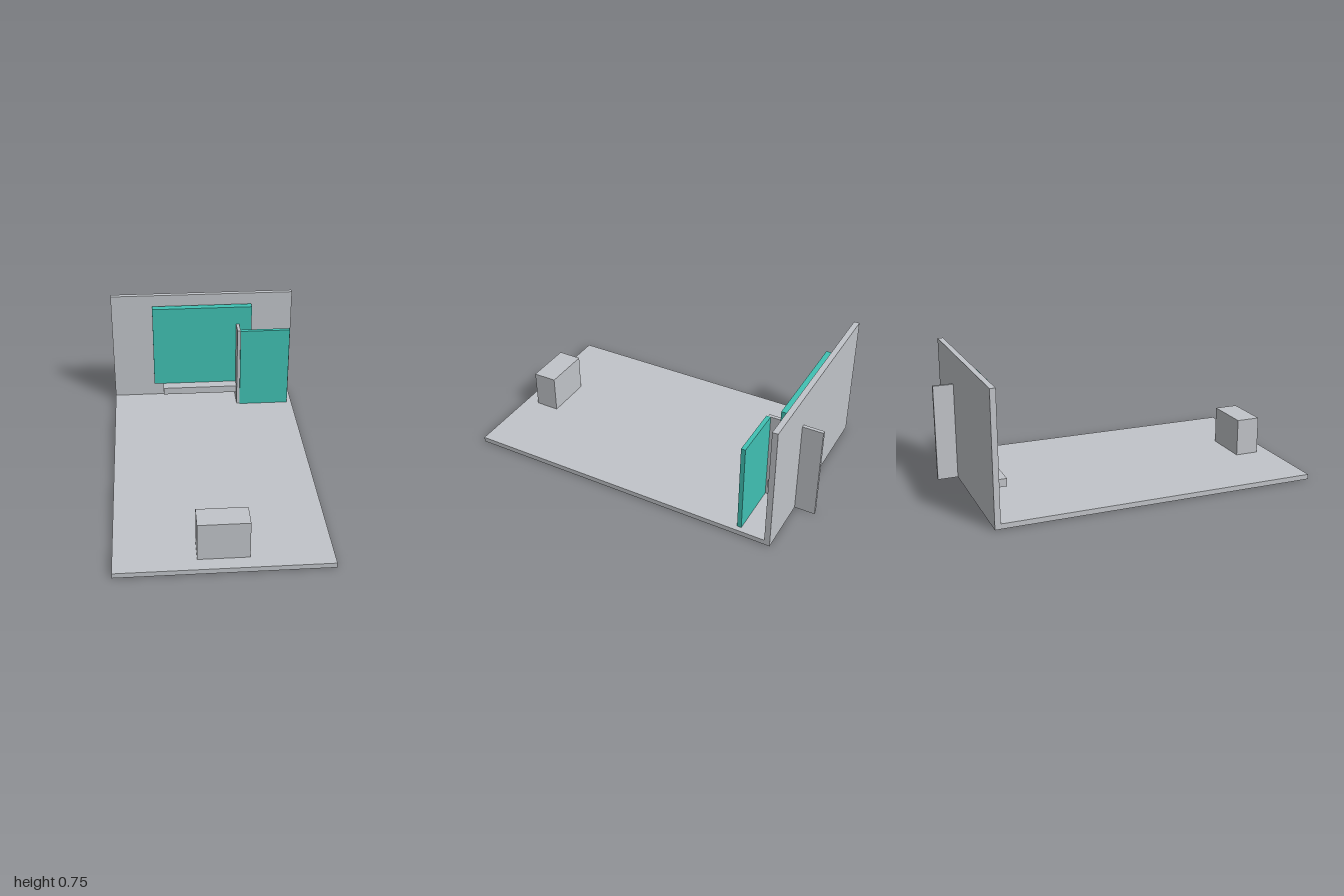
import * as THREE from 'three';

export function createModel() {
  const model = new THREE.Group();
  model.name = 'room';
  const grey = new THREE.MeshStandardMaterial({ name: 'pale grey', color: 0xc1c4c9 });
  const teal = new THREE.MeshStandardMaterial({ name: 'teal', color: 0x40c1b3 });

  // Box given by its lower and upper limits on each axis
  function block(name, material, [x0, x1], [y0, y1], [z0, z1]) {
    const mesh = new THREE.Mesh(new THREE.BoxGeometry(x1 - x0, y1 - y0, z1 - z0), material);
    mesh.position.set((x0 + x1) / 2, (y0 + y1) / 2, (z0 + z1) / 2);
    mesh.name = name;
    model.add(mesh);
  }

  // Room shell; the floor sits a hair above the door panel's foot
  block('floor', grey, [-0.587, 0.587], [0.0008, 0.03], [-0.85, 1]);
  block('backWall', grey, [-0.587, 0.587], [0, 0.755], [-0.882, -0.85]);

  // Screen and the shelf beneath it
  block('screen', teal, [-0.323, 0.321], [0.143, 0.685], [-0.837, -0.789]);
  block('shelf', grey, [-0.264, 0.262], [0.097, 0.143], [-0.82, -0.72]);

  // Fin running through the wall, with a panel at its front edge
  block('fin', grey, [0.22, 0.24], [0, 0.565], [-1, -0.687]);
  block('doorPanel', teal, [0.239, 0.557], [0, 0.565], [-0.702, -0.677]);

  // Seat facing the screen
  block('seat', grey, [-0.141, 0.14], [0.03, 0.252], [0.777, 0.918]);

  return model;
}
